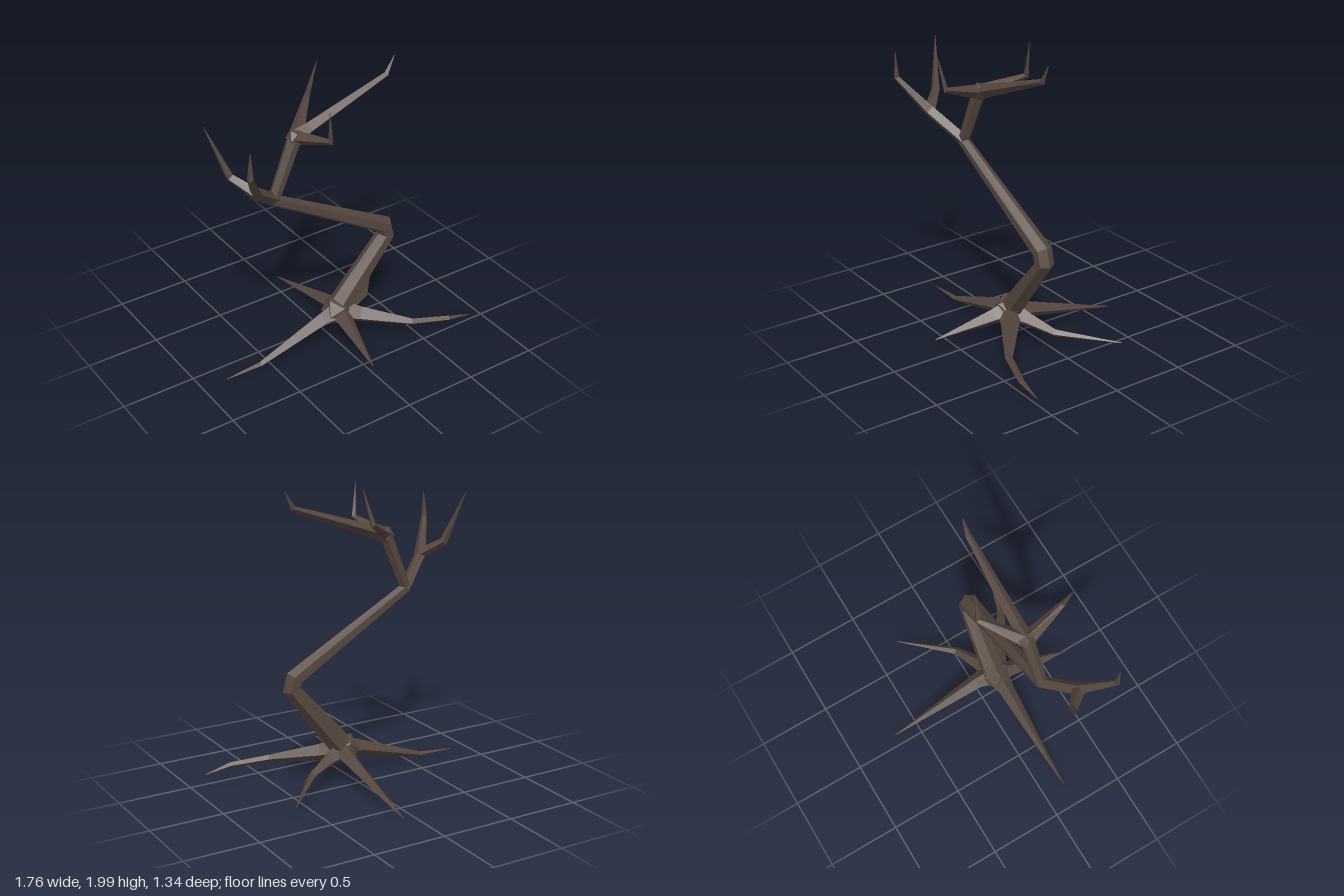
import * as THREE from 'three';

const bark = new THREE.MeshStandardMaterial({ color: 0x56473f });
bark.name = 'bark';

// Faceted tapering limb through points [x, y, z, radius]
function limbGeometry(points, sides) {
  const pos = points.map(p => new THREE.Vector3(p[0], p[1], p[2]));
  const last = pos.length - 1;
  const verts = [], index = [];
  let normal = new THREE.Vector3(0, 1, 0);
  pos.forEach((p, i) => {
    const t = new THREE.Vector3();
    if (i > 0) t.add(p.clone().sub(pos[i - 1]).normalize());
    if (i < last) t.add(pos[i + 1].clone().sub(p).normalize());
    t.normalize();
    normal = normal.clone().addScaledVector(t, -normal.dot(t)).normalize();
    const side = t.clone().cross(normal);
    for (let j = 0; j < sides; j++) {
      const a = (j / sides) * Math.PI * 2, r = points[i][3];
      const v = p.clone().addScaledVector(normal, r * Math.cos(a)).addScaledVector(side, r * Math.sin(a));
      verts.push(v.x, v.y, v.z);
    }
  });
  for (let i = 0; i < last; i++) {
    for (let j = 0; j < sides; j++) {
      const k = (j + 1) % sides;
      const a = i * sides + j, b = i * sides + k, c = a + sides, d = b + sides;
      index.push(a, b, d, a, d, c);
    }
  }
  // end caps
  const top = last * sides;
  for (let j = 1; j < sides - 1; j++) {
    index.push(0, j + 1, j, top, top + j, top + j + 1);
  }
  const indexed = new THREE.BufferGeometry();
  indexed.setAttribute('position', new THREE.Float32BufferAttribute(verts, 3));
  indexed.setIndex(index);
  const g = indexed.toNonIndexed();
  g.computeVertexNormals();
  return g;
}

export function createModel() {
  const tree = new THREE.Group();
  tree.name = 'bareTree';

  const add = (name, geometry) => {
    const mesh = new THREE.Mesh(geometry, bark);
    mesh.name = name;
    tree.add(mesh);
    return mesh;
  };
  const limb = (name, points, sides = 4) => add(name, limbGeometry(points, sides));
  const knot = (name, x, y, z, r, detail) => {
    const g = detail ? new THREE.IcosahedronGeometry(r, 0) : new THREE.OctahedronGeometry(r, 0);
    add(name, g).position.set(x, y, z);
  };

  // Zigzag trunk
  limb('trunk', [
    [0.04, 0.21, 0.13, 0.085], [0.11, 0.3, 0.13, 0.078],
    [0.427, 0.69, 0.14, 0.062], [0.405, 0.765, 0.14, 0.064],
    [-0.46, 1.255, 0.155, 0.038],
  ], 6);

  // Root crown and roots
  knot('rootCrown', 0.04, 0.215, 0.135, 0.108, true);
  limb('rightRoot', [
    [0.05, 0.21, 0.14, 0.085], [-0.09, 0.19, 0.145, 0.055],
    [-0.58, 0.04, 0.155, 0.02], [-0.84, 0.03, 0.155, 0.003],
  ]);
  limb('frontRoot', [
    [0.05, 0.21, 0.14, 0.085], [0.03, 0.19, 0.26, 0.055], [-0.04, 0.112, 0.665, 0.003],
  ]);
  limb('frontLeftRoot', [
    [0.05, 0.21, 0.14, 0.085], [0.17, 0.18, 0.225, 0.06], [0.45, 0.125, 0.43, 0.025],
    [0.7, 0.1, 0.51, 0.02], [0.875, 0.065, 0.52, 0.003],
  ]);
  limb('backRoot', [
    [0.06, 0.21, 0.13, 0.085], [0.075, 0.185, 0.0, 0.055], [0.077, 0.008, -0.67, 0.003],
  ]);
  limb('backLeftRoot', [
    [0.07, 0.2, 0.13, 0.08], [0.19, 0.175, 0.08, 0.05],
    [0.36, 0.13, 0.0, 0.026], [0.655, 0.085, -0.32, 0.003],
  ]);

  // Right bough with a forked end
  limb('rightBough', [
    [-0.45, 1.255, 0.155, 0.04], [-0.655, 1.43, 0.29, 0.04],
    [-0.792, 1.65, 0.45, 0.02], [-0.79, 1.825, 0.455, 0.002],
  ]);
  limb('rightBoughFork', [
    [-0.655, 1.43, 0.29, 0.04], [-0.765, 1.525, 0.17, 0.028], [-0.882, 1.86, 0.09, 0.002],
  ]);

  // Upper bough and its crown of three twigs
  limb('upperBough', [[-0.455, 1.25, 0.155, 0.038], [-0.29, 1.62, 0.14, 0.046]], 6);
  knot('trunkKnot', -0.455, 1.26, 0.155, 0.042);
  knot('upperKnot', -0.28, 1.63, 0.14, 0.062, true);
  limb('longTwig', [
    [-0.28, 1.63, 0.14, 0.055], [-0.18, 1.665, 0.14, 0.043],
    [0.395, 1.868, 0.14, 0.02], [0.457, 1.985, 0.14, 0.002],
  ]);
  limb('backTwig', [
    [-0.28, 1.63, 0.14, 0.05], [-0.06, 1.755, -0.068, 0.02], [0.003, 1.99, -0.048, 0.002],
  ]);
  limb('frontTwig', [
    [-0.28, 1.63, 0.14, 0.05], [-0.22, 1.71, 0.43, 0.02], [-0.255, 1.93, 0.47, 0.002],
  ]);

  return tree;
}
